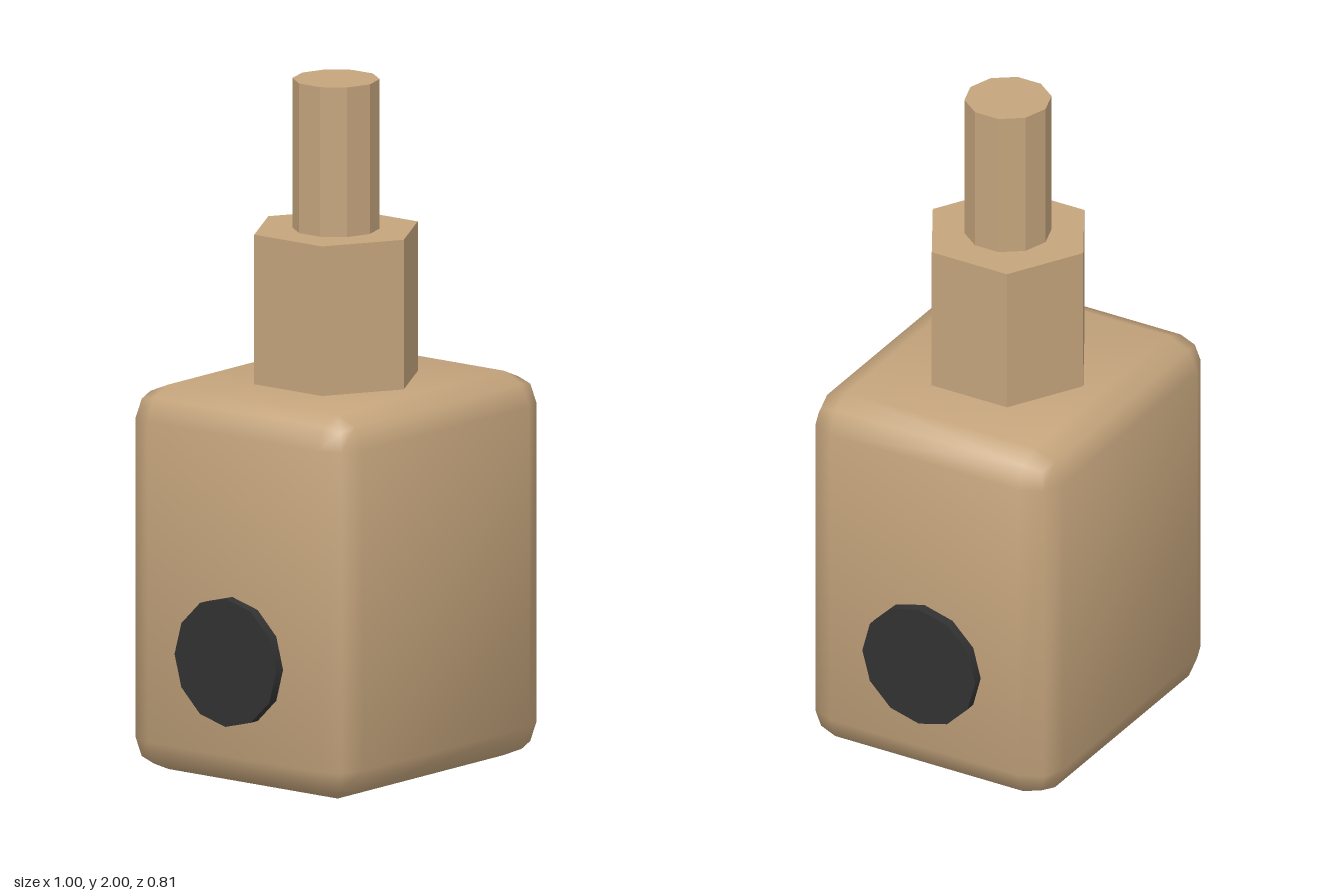
import * as THREE from 'three';

const brass = new THREE.MeshStandardMaterial({ color: 0xc4a47c });
brass.name = 'brass';
const dark = new THREE.MeshStandardMaterial({ color: 0x323232 });
dark.name = 'dark rubber';

// Box whose edges are rounded in two steps, with soft normals that flow over the edges
function softBox(w, h, d, r) {
  const geo = new THREE.BoxGeometry(1, 1, 1, 3, 3, 3);
  const pos = geo.attributes.position;
  const nor = geo.attributes.normal;
  const p = new THREE.Vector3();
  const dir = new THREE.Vector3();
  const n = new THREE.Vector3();
  const inner = new THREE.Vector3(w / 2 - r, h / 2 - r, d / 2 - r);
  for (let i = 0; i < pos.count; i++) {
    p.fromBufferAttribute(pos, i);
    for (const a of ['x', 'y', 'z']) {
      const s = Math.sign(p[a]);
      const outer = Math.abs(p[a]) > 0.4;
      dir[a] = outer ? s : 0;
      n[a] = outer ? s : s * 0.2;
      p[a] = s * inner[a];
    }
    p.addScaledVector(dir.normalize(), r);
    n.normalize();
    pos.setXYZ(i, p.x, p.y, p.z);
    nor.setXYZ(i, n.x, n.y, n.z);
  }
  return geo;
}

// Faceted upright prism standing between two heights
function prism(radius, bottom, top, sides) {
  const geo = new THREE.CylinderGeometry(radius, radius, top - bottom, sides).toNonIndexed();
  geo.computeVertexNormals();
  return geo.translate(0, (bottom + top) / 2, 0);
}

export function createModel() {
  const model = new THREE.Group();
  model.name = 'fitting';
  const add = (name, geo, mat) => {
    const mesh = new THREE.Mesh(geo, mat);
    mesh.name = name;
    model.add(mesh);
    return mesh;
  };

  // Main block
  add('body', softBox(0.9375, 1.125, 0.8125, 0.094), brass).position.y = 0.5625;

  // Hexagonal collar and ten-sided stem
  add('hexCollar', prism(0.25, 1.125, 1.5625, 6), brass);
  add('stem', prism(0.125, 1.5625, 2, 10), brass);

  // Cross pin showing as a round plug on both sides
  const pin = new THREE.CylinderGeometry(0.1875, 0.1875, 1, 12).rotateZ(Math.PI / 2);
  add('crossPin', pin, dark).position.y = 0.375;

  return model;
}
